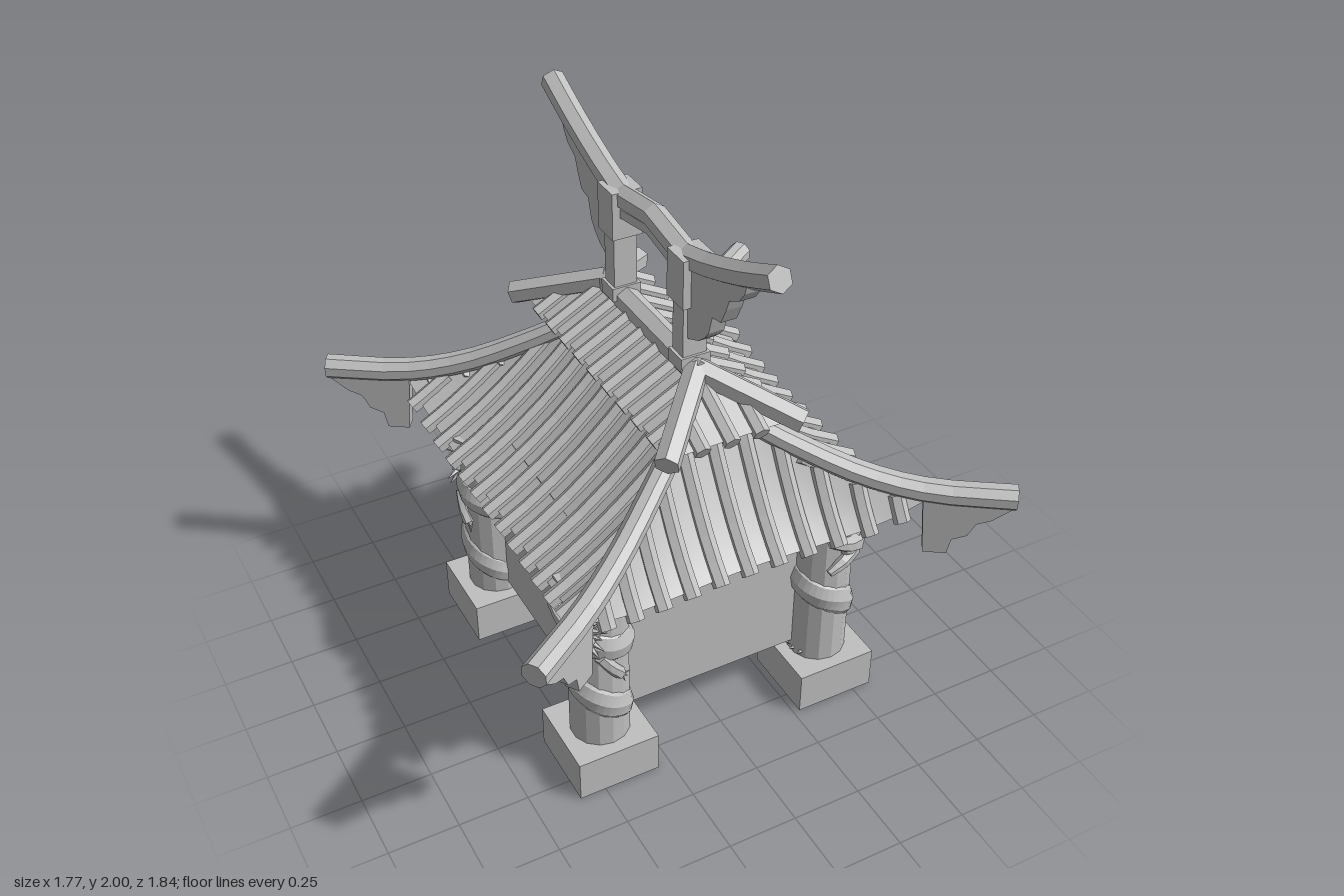
import * as THREE from 'three';

const stone = new THREE.MeshStandardMaterial({ color: 0xbfbfbf });
stone.name = 'stone grey';
const sheet = new THREE.MeshStandardMaterial({ color: 0xbfbfbf, side: THREE.DoubleSide });
sheet.name = 'stone grey sheet';

const V = (x, y, z) => new THREE.Vector3(x, y, z);
const lerp = THREE.MathUtils.lerp;

function add(parent, name, geometry, x = 0, y = 0, z = 0, material = stone) {
  const mesh = new THREE.Mesh(geometry, material);
  mesh.name = name;
  mesh.position.set(x, y, z);
  parent.add(mesh);
  return mesh;
}

function flat(geometry) {
  const g = geometry.index ? geometry.toNonIndexed() : geometry;
  g.computeVertexNormals();
  return g;
}

// Faceted, capped rod swept along a smooth path; radius may vary with t
function rod(points, radius, sides = 6, segs = 6, turn = Math.PI / 6) {
  const curve = new THREE.CatmullRomCurve3(points);
  const pos = [], index = [], up = V(0, 1, 0);
  for (let i = 0; i <= segs; i++) {
    const t = i / segs, c = curve.getPoint(t), T = curve.getTangent(t);
    const side = T.clone().cross(up).normalize(), n = side.clone().cross(T);
    const r = typeof radius === 'function' ? radius(t) : radius;
    for (let j = 0; j < sides; j++) {
      const a = turn + j / sides * Math.PI * 2;
      const p = c.clone().addScaledVector(side, r * Math.cos(a)).addScaledVector(n, r * Math.sin(a));
      pos.push(p.x, p.y, p.z);
      if (i < segs) {
        const k = i * sides, q = (j + 1) % sides;
        index.push(k + j, k + sides + j, k + q, k + q, k + sides + j, k + sides + q);
      }
    }
  }
  const end = segs * sides;
  for (let j = 1; j < sides - 1; j++) index.push(0, j, j + 1, end, end + j + 1, end + j);
  const g = new THREE.BufferGeometry();
  g.setAttribute('position', new THREE.Float32BufferAttribute(pos, 3));
  g.setIndex(index);
  return flat(g);
}

// Flat plate cut from an outline and centred on its thickness
function plate(outline, depth) {
  const shape = new THREE.Shape(outline.map(([x, y]) => new THREE.Vector2(x, y)));
  return new THREE.ExtrudeGeometry(shape, { depth, bevelEnabled: false }).translate(0, 0, -depth / 2);
}

// Open surface from a function of u in -1..1 and t in 0..1
function surface(fn, nu, nt) {
  const g = new THREE.PlaneGeometry(2, 1, nu, nt), p = g.attributes.position;
  for (let i = 0; i < p.count; i++) {
    const v = fn(p.getX(i), 0.5 - p.getY(i));
    p.setXYZ(i, v.x, v.y, v.z);
  }
  g.computeVertexNormals();
  return g;
}

// Concave hipped roof: eaves bow out and rise toward the corners
function lowerRoof(front, s, u, t) {
  const hx = 0.09 + 0.53 * t, hz = 0.36 + 0.36 * t;
  const y = lerp(1.235 - 0.55 * t + 0.14 * t * t, 1.235 - 0.53 * t + 0.22 * t * t, u ** 4);
  return front
    ? V(u * hx, y, s * lerp(0.36 + 0.28 * t, hz, u * u))
    : V(s * lerp(0.09 + 0.5 * t, hx, u * u), y, u * hz);
}

// Small straight cap roof
function upperRoof(front, s, u, t) {
  const hx = 0.005 + 0.205 * t, hz = 0.31 + 0.22 * t, y = 1.36 - 0.11 * t;
  return front ? V(u * hx, y, s * hz) : V(s * hx, y, u * hz);
}

// One roof face with its row of tile ribs
function roofFace(parent, name, fn, front, s, count, pitch, start, grow, shift = 0) {
  add(parent, name + 'Surface', surface((u, t) => fn(front, s, u, t), 12, 8), 0, 0, 0, sheet);
  for (let i = -count; i <= count; i++) {
    const c = i * pitch + shift, t0 = Math.max(0, (Math.abs(c) - start) / grow), pts = [];
    for (let k = 0; k <= 4; k++) {
      const t = lerp(t0, 1.06, k / 4);
      pts.push(fn(front, s, c / (start + grow * t), t));
    }
    add(parent, name + 'TileRib', rod(pts, 0.029, 6, 5));
  }
}

// Coiled creature on a column: body, head, jaw, mane and claws
function dragon() {
  const g = new THREE.Group();
  g.name = 'coiledDragon';
  const heights = [0.17, 0.24, 0.33, 0.43, 0.5, 0.55, 0.59, 0.65], path = [];
  for (let i = 0; i < 27; i++) {
    const f = i / 4, k = Math.floor(f), a = (f - 2) * Math.PI / 2;
    path.push(V(0.05 * Math.cos(a), lerp(heights[k], heights[k + 1], f - k), 0.05 * Math.sin(a)));
  }
  add(g, 'dragonBody', rod(path, t => 0.058 + 0.016 * Math.min(1, t * 3), 10, 56));

  // Head turned toward the outer corner
  const head = new THREE.Group();
  head.name = 'dragonHead';
  head.rotation.y = 0.4;
  g.add(head);
  const spike = (parent, name, from, to, r) => add(parent, name, rod([from, to], t => r * (1 - 0.95 * t), 5, 2));
  add(head, 'dragonSkull', flat(new THREE.IcosahedronGeometry(0.055, 1).scale(1.1, 0.85, 0.6)), 0.02, 0.655, 0.105);
  add(head, 'dragonSnout', rod([V(0.03, 0.665, 0.11), V(-0.03, 0.69, 0.118), V(-0.1, 0.73, 0.1)],
    t => 0.038 - 0.018 * t, 6, 4));
  add(head, 'dragonJaw', rod([V(0.02, 0.64, 0.108), V(-0.04, 0.615, 0.112), V(-0.095, 0.59, 0.095)],
    t => 0.032 - 0.018 * t, 6, 4));
  for (let i = 0; i < 5; i++) {
    spike(head, 'dragonMane', V(0.045, 0.63 + i * 0.018, 0.1),
      V(0.1 + 0.015 * (i % 2), 0.6 + i * 0.034, 0.105 - 0.008 * i), 0.02);
  }
  for (const s of [0, 1]) {
    spike(head, 'dragonHorn', V(0.02, 0.685, 0.095 + 0.02 * s), V(0.085, 0.735, 0.105 + 0.025 * s), 0.014);
  }

  // Foreleg, claws and tail tuft
  add(g, 'dragonForeleg', rod([V(0.1, 0.57, 0.04), V(0.108, 0.51, 0), V(0.104, 0.47, -0.03)], 0.022, 6, 4));
  for (let i = 0; i < 3; i++) {
    spike(g, 'dragonClaw', V(0.104, 0.47, -0.03), V(0.108, 0.43 + i * 0.02, -0.045 - i * 0.01), 0.012);
  }
  for (let i = 0; i < 4; i++) {
    const a = Math.PI * (0.85 + i * 0.1);
    spike(g, 'dragonTailTuft', V(0.08 * Math.cos(a), 0.17, 0.08 * Math.sin(a)),
      V(0.125 * Math.cos(a), 0.185, 0.125 * Math.sin(a)), 0.018);
  }
  return g;
}

export function createModel() {
  const model = new THREE.Group();
  model.name = 'pavilion';

  // Columns on square footings
  const profile = [[0, 0.15], [0.105, 0.15], [0.105, 0.76], [0.12, 0.78], [0.122, 0.81], [0.14, 0.825], [0.14, 0.86], [0, 0.86]]
    .map(([r, y]) => new THREE.Vector2(r, y));
  for (const sx of [-1, 1]) for (const sz of [-1, 1]) {
    const corner = new THREE.Group();
    corner.name = 'cornerColumn';
    corner.position.set(sx > 0 ? 0.423 : -0.445, 0, sz > 0 ? 0.44 : -0.43);
    model.add(corner);
    add(corner, 'footing', new THREE.BoxGeometry(0.297, 0.157, 0.297), 0, 0.0785, 0);
    add(corner, 'columnShaft', flat(new THREE.LatheGeometry(profile, 14)));
    const coil = dragon();
    coil.rotation.y = sx > 0 ? (sz > 0 ? 0 : Math.PI / 2) : (sz > 0 ? -Math.PI / 2 : Math.PI);
    corner.add(coil);
  }

  // Walls between the column centres, open underneath
  for (let i = 0; i < 4; i++) {
    const a = i * Math.PI / 2;
    const wall = add(model, 'wall', new THREE.PlaneGeometry(0.87, 0.72),
      0.435 * Math.sin(a) - 0.01, 0.56, 0.435 * Math.cos(a) + 0.005, sheet);
    wall.rotation.y = a;
  }

  // Both roofs; the cap sits slightly toward the back
  const cap = new THREE.Group();
  cap.name = 'capRoof';
  cap.position.z = -0.025;
  model.add(cap);
  for (const s of [-1, 1]) {
    roofFace(model, 'lowerRoofEnd', lowerRoof, true, s, 5, 0.108, 0.09, 0.53);
    roofFace(model, 'lowerRoofSide', lowerRoof, false, s, 6, 0.102, 0.36, 0.36, -0.025);
    roofFace(cap, 'upperRoofEnd', upperRoof, true, s, 1, 0.105, 0.005, 0.205);
    roofFace(cap, 'upperRoofSide', upperRoof, false, s, 4, 0.105, 0.31, 0.22);
  }

  // Sweeping hip beams with a stepped bracket at each tip
  const hip = [[0.02, 1.27], [0.12, 1.215], [0.25, 1.13], [0.44, 1.025], [0.62, 0.972], [0.86, 0.965]];
  const bracket = [[0.61, 0.96], [0.625, 0.73], [0.69, 0.73], [0.7, 0.79], [0.74, 0.81], [0.76, 0.86], [0.8, 0.88], [0.85, 0.93], [0.85, 0.965]]
    .map(([x, y]) => [x / 0.827, y]);
  for (const sx of [-1, 1]) for (const sz of [-1, 1]) {
    add(model, 'hipBeam', rod(hip.map(([x, y]) => V(sx * x, y, sz * (0.3 + 0.68 * x))), t => 0.036 + 0.009 * t, 8, 14, Math.PI / 8));
    add(model, 'hipBracket', plate(bracket, 0.05), 0, 0, sz * 0.3).rotation.y = Math.atan2(-sz * 0.562, sx * 0.827);
    add(cap, 'upperHipBeam', rod([V(0, 1.385, sz * 0.31), V(sx * 0.245, 1.26, sz * 0.565)], 0.043, 6, 1));
  }
  add(cap, 'ridgeBeam', rod([V(0, 1.38, -0.335), V(0, 1.38, 0.335)], 0.045, 6, 1));

  // Crest: posts, collars, winged plates and the upswept top beam
  const wing = [[0.25, 1.78], [0.25, 1.51], [0.275, 1.5], [0.34, 1.53], [0.375, 1.56], [0.4, 1.59], [0.42, 1.66], [0.47, 1.67],
    [0.5, 1.73], [0.515, 1.77], [0.57, 1.8], [0.6, 1.84], [0.62, 1.91]];
  for (const s of [-1, 1]) {
    add(model, 'crestPost', new THREE.BoxGeometry(0.085, 0.4, 0.068), 0, 1.59, s * 0.236);
    add(model, 'crestPostFoot', new THREE.BoxGeometry(0.105, 0.05, 0.085), 0, 1.405, s * 0.236);
    add(model, 'crestCollar', new THREE.BoxGeometry(0.11, 0.17, 0.105), 0, 1.705, s * 0.237);
    add(model, 'crestWing', plate(wing, 0.055)).rotation.y = -s * Math.PI / 2;
    add(model, 'topBeamArm', rod([V(0, 1.755, s * 0.2), V(0, 1.8, s * 0.36), V(0, 1.88, s * 0.57), V(0, 1.957, s * 0.738)], 0.042, 6, 6));
  }
  add(model, 'topBeamCentre', rod([V(0, 1.755, -0.24), V(0, 1.795, 0), V(0, 1.755, 0.24)], 0.042, 6, 2));
  add(model, 'lowerTieBeam', rod([V(0, 1.705, -0.24), V(0, 1.75, 0), V(0, 1.705, 0.24)], 0.032, 6, 2));
  return model;
}
